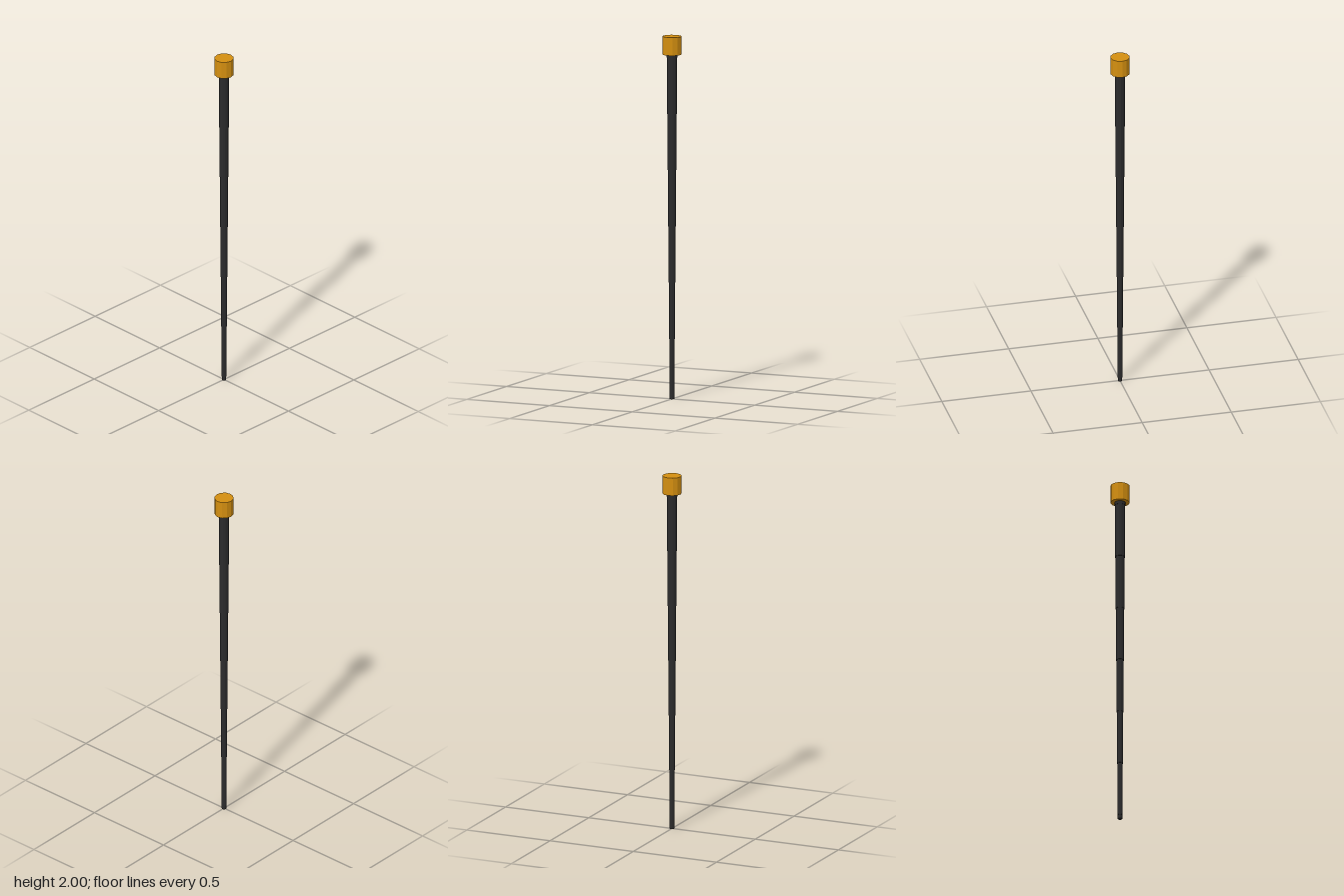
import * as THREE from 'three';

export function createModel() {
  const group = new THREE.Group();
  const black = new THREE.MeshStandardMaterial({ color: 0x2b2b2c, flatShading: true });
  black.name = 'matte black';
  const amber = new THREE.MeshStandardMaterial({ color: 0xd48f10, flatShading: true });
  amber.name = 'amber';

  // Upright twelve-sided cylinder between two heights
  function rod(name, radius, bottom, top, material) {
    const mesh = new THREE.Mesh(
      new THREE.CylinderGeometry(radius, radius, top - bottom, 12), material);
    mesh.position.y = (bottom + top) / 2;
    mesh.name = name;
    group.add(mesh);
  }

  // Telescoping tube, each section a little wider than the one below
  const joints = [0, 0.023, 0.333, 0.643, 0.953, 1.263, 1.573, 1.883, 1.9];
  for (let i = 0; i < joints.length - 1; i++) {
    const name = i === 0 ? 'tip' : i === joints.length - 2 ? 'collar' : `section${i}`;
    rod(name, 0.0125 + 0.0025 * i, joints[i], joints[i + 1], black);
  }

  // Wide cap on the thick end
  rod('cap', 0.0525, 1.9, 2, amber);
  return group;
}
